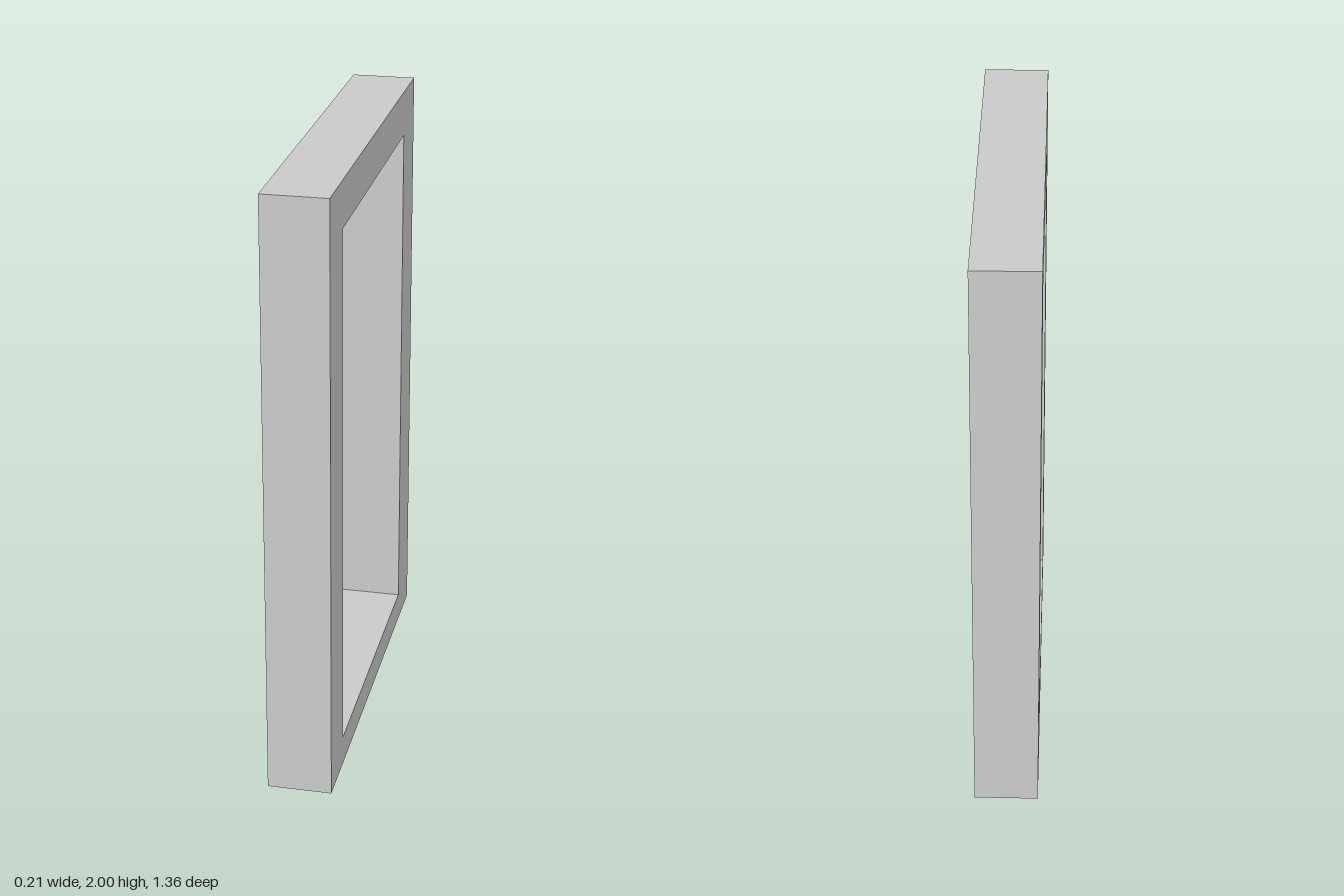
import * as THREE from 'three';

const HEIGHT = 2, WIDTH = 1.36, DEPTH = 0.21;
const OPENING = { halfWidth: 0.495, bottom: 0.1, top: 1.85 };

// Closed rectangle, symmetric about the vertical axis
function rectangle(path, halfWidth, bottom, top) {
  path.moveTo(-halfWidth, bottom);
  path.lineTo(halfWidth, bottom);
  path.lineTo(halfWidth, top);
  path.lineTo(-halfWidth, top);
  path.closePath();
  return path;
}

export function createModel() {
  const group = new THREE.Group();
  group.name = 'rectangularFrame';

  // Frame outline with its opening, extruded through the thickness
  const outline = rectangle(new THREE.Shape(), WIDTH / 2, 0, HEIGHT);
  outline.holes.push(rectangle(new THREE.Path(), OPENING.halfWidth, OPENING.bottom, OPENING.top));
  const geometry = new THREE.ExtrudeGeometry(outline, { depth: DEPTH, bevelEnabled: false });

  // Centre the thickness, then turn the frame so its width runs along z
  geometry.translate(0, 0, -DEPTH / 2);
  geometry.rotateY(Math.PI / 2);

  const frame = new THREE.Mesh(
    geometry,
    new THREE.MeshStandardMaterial({ color: 0xcccccc, flatShading: true })
  );
  frame.name = 'frame';
  group.add(frame);
  return group;
}
